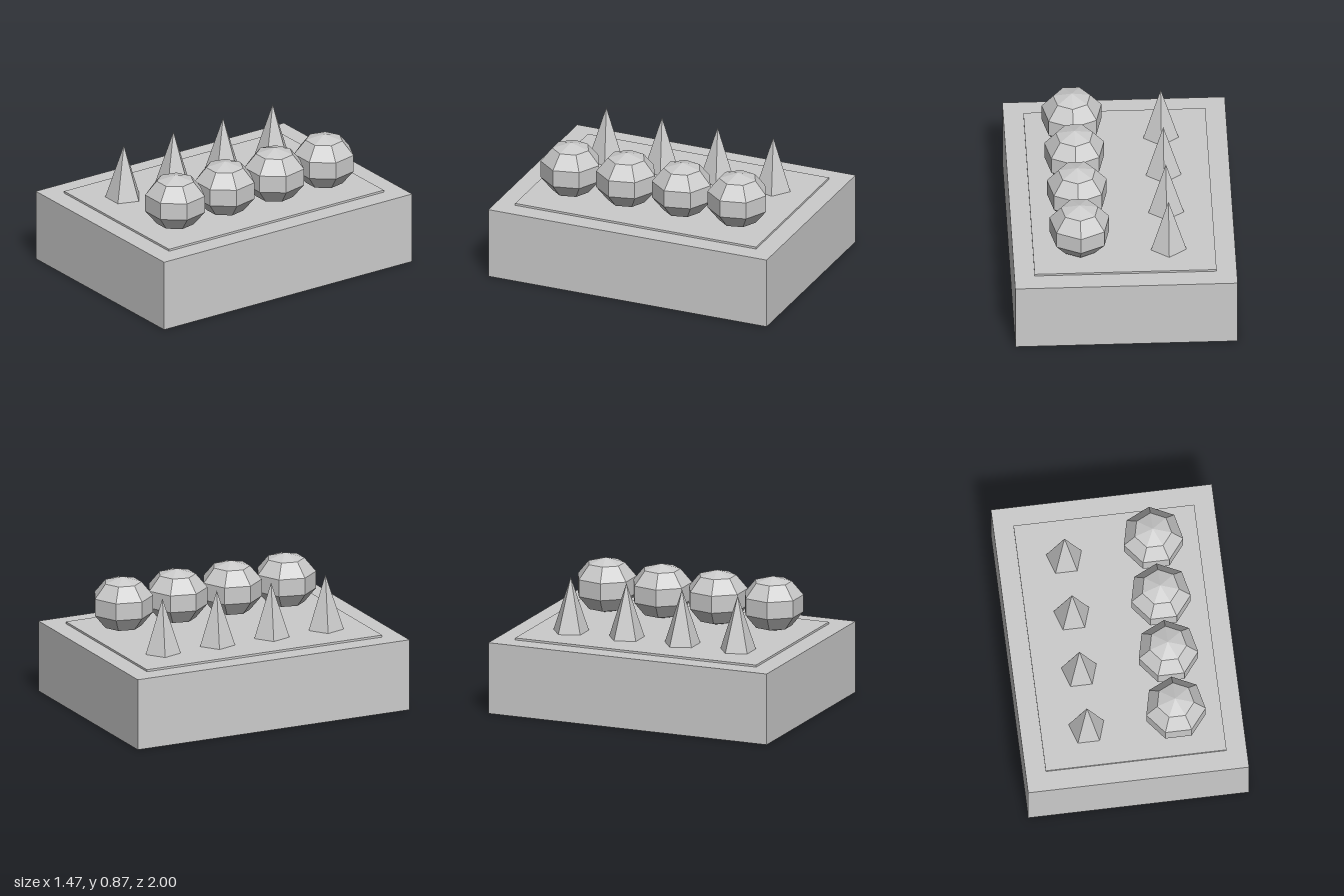
import * as THREE from 'three';

export function createModel() {
  const model = new THREE.Group();
  const material = new THREE.MeshStandardMaterial({ color: 0xcccccc, flatShading: true });

  const add = (name, geometry, x, y, z) => {
    const mesh = new THREE.Mesh(geometry, material);
    mesh.name = name;
    mesh.position.set(x, y, z);
    model.add(mesh);
  };

  // Planter box with a thin soil bed lying just above its top
  add('planterBox', new THREE.BoxGeometry(1.467, 0.483, 2), 0, 0.2415, 0);
  add('soilBed', new THREE.BoxGeometry(1.2, 0.06, 1.732), 0, 0.467, 0);

  // Five-sided spike plants and seven-sided, slightly squashed round plants, a corner towards the back
  const spike = new THREE.ConeGeometry(0.133, 0.4, 5).rotateY(Math.PI);
  const ball = new THREE.SphereGeometry(1, 7, 5).rotateY(-Math.PI / 2).scale(0.2125, 0.187, 0.2125);

  // Two rows of four
  for (let i = 0; i < 4; i++) {
    const z = -0.6 + i * 0.4;
    add(`spikePlant${i + 1}`, spike, -0.294, 0.667, z);
    add(`roundPlant${i + 1}`, ball, 0.292, 0.67, z - 0.002);
  }
  return model;
}
